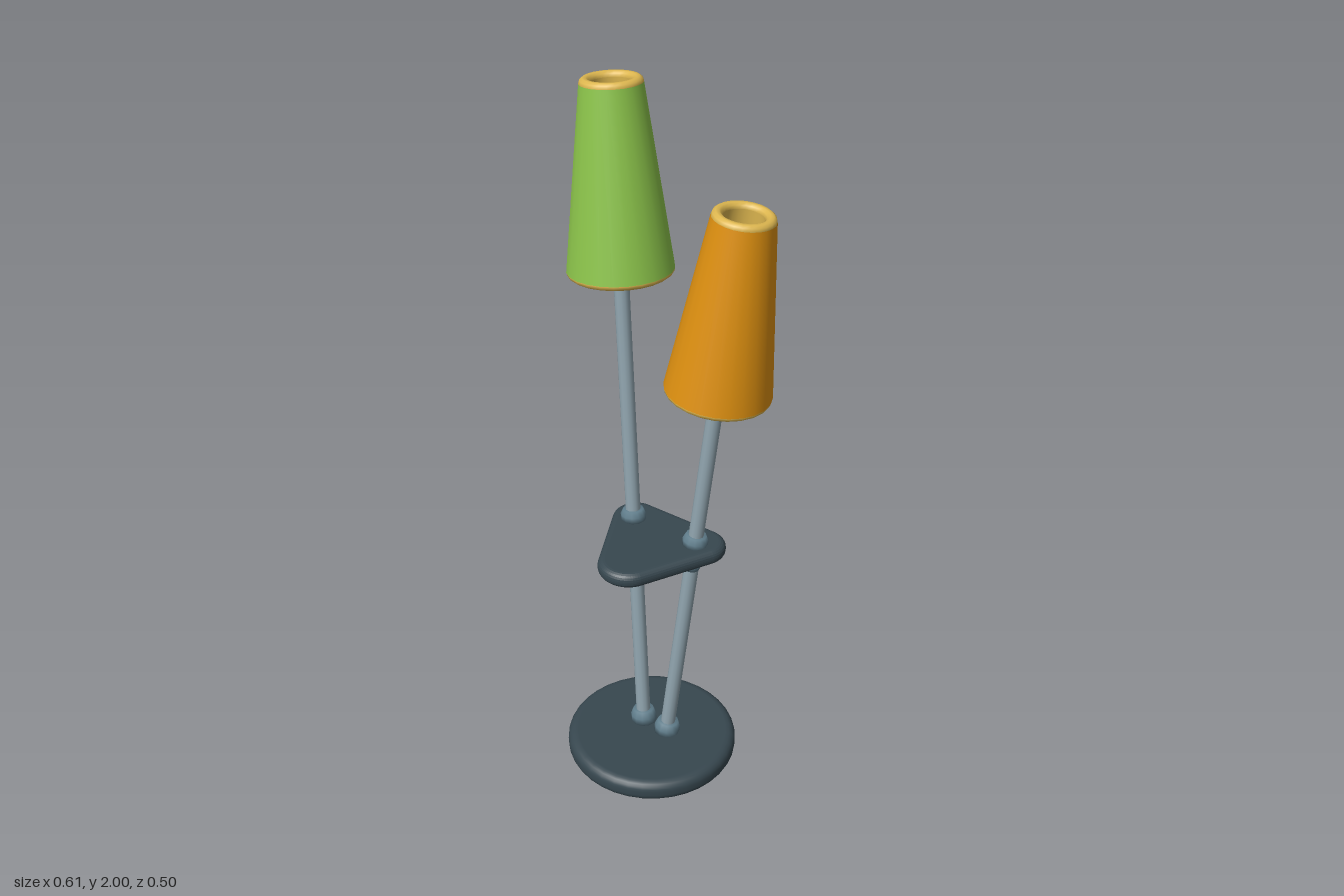
import * as THREE from 'three';

const mat = (name, color, side = THREE.FrontSide) => {
  const m = new THREE.MeshStandardMaterial({ color, side });
  m.name = name;
  return m;
};

export function createModel() {
  const slate = mat('dark slate', 0x37474f);
  const steel = mat('steel', 0x90a4ae);
  const collarGrey = mat('collar grey', 0x607d8b);
  const gold = mat('gold lining', 0xdfb850);
  const green = mat('green shade', 0x8bc34a);
  const orange = mat('orange shade', 0xde9010);

  const lamp = new THREE.Group();
  lamp.name = 'twinFloorLamp';
  const add = (parent, name, geo, material, x = 0, y = 0, z = 0) => {
    const m = new THREE.Mesh(geo, material);
    m.name = name;
    m.position.set(x, y, z);
    parent.add(m);
    return m;
  };
  const lathe = (pts, n) => new THREE.LatheGeometry(pts.map(([r, y]) => new THREE.Vector2(r, y)), n);

  // Round base with softened rims
  const R = 0.25, H = 0.065, b = 0.026;
  const profile = [[0, 0], [R - b - 0.003, 0]];
  for (let i = 0; i <= 5; i++) {
    const a = -Math.PI / 2 + (i / 5) * Math.PI / 2;
    profile.push([R - b + b * Math.cos(a), b + b * Math.sin(a)]);
  }
  for (let i = 0; i <= 5; i++) {
    const a = (i / 5) * Math.PI / 2;
    profile.push([R - b + b * Math.cos(a), H - b + b * Math.sin(a)]);
  }
  profile.push([R - b - 0.003, H], [0, H]);
  add(lamp, 'base', lathe(profile, 36), slate, 0.01);

  // Rounded triangular spacer plate: arcs at three corners, inset by the bevel
  const bevel = 0.02;
  const plate = new THREE.Shape();
  const deg = Math.PI / 180;
  // Shape y becomes +z after the plate is laid flat
  plate.absarc(0, 0.108, 0.085 - bevel, 30 * deg, 150 * deg, false);
  plate.absarc(-0.113, -0.078, 0.067 - bevel, 150 * deg, 270 * deg, false);
  plate.absarc(0.113, -0.078, 0.067 - bevel, 270 * deg, 390 * deg, false);
  const plateGeo = new THREE.ExtrudeGeometry(plate, {
    depth: 0.005, bevelSize: bevel, bevelThickness: bevel, bevelSegments: 5, curveSegments: 12,
  });
  plateGeo.rotateX(Math.PI / 2);
  add(lamp, 'spacerPlate', plateGeo, slate, 0.01, 0.735, 0);

  // One leaning pole with its collars and open conical shade
  const buildArm = (side, x0, shadeY, shadeMat) => {
    const arm = new THREE.Group();
    arm.name = side + 'Arm';
    const dir = new THREE.Vector3(Math.sign(x0) * 0.0914, 1, -0.055);
    const stretch = dir.length();
    arm.position.set(x0, 0.08, -0.02);
    arm.quaternion.setFromUnitVectors(new THREE.Vector3(0, 1, 0), dir.normalize());
    const along = y => (y - 0.08) * stretch; // world height to distance along the pole

    const end = along(1.63), start = along(0.05);
    add(arm, side + 'Pole', new THREE.CylinderGeometry(0.021, 0.021, end - start, 12), steel, 0, (end + start) / 2);

    // Collars on the base and on both faces of the plate
    const collar = (name, y, r, h, flip) => {
      const c = add(arm, name, lathe([[0, 0], [r, 0], [r, h * 0.55], [r * 0.8, h], [0, h]], 12), collarGrey, 0, along(y));
      if (flip) c.rotation.x = Math.PI;
    };
    collar(side + 'BaseCollar', 0.06, 0.038, 0.042);
    collar(side + 'UpperCollar', 0.75, 0.036, 0.034);
    collar(side + 'LowerCollar', 0.715, 0.029, 0.045, true);

    // Shade: coloured outside, gold lining and rounded gold rims
    const shade = new THREE.Group();
    shade.name = side + 'Shade';
    shade.position.y = along(shadeY);
    arm.add(shade);
    const len = 0.485, rb = 0.143, rt = 0.082, tube = 0.0145;
    add(shade, side + 'ShadeOuter', lathe([[rb, 0], [rt, len]], 24), shadeMat);
    add(shade, side + 'ShadeLining', lathe([[rt - 2 * tube, len], [rb - 2 * tube, 0]], 24), gold);
    for (const [name, r, y] of [['BottomRim', rb, 0], ['TopRim', rt, len]]) {
      const rim = new THREE.TorusGeometry(r - tube, tube, 10, 24);
      rim.rotateX(Math.PI / 2);
      add(shade, side + name, rim, gold, 0, y);
    }
    lamp.add(arm);
  };
  buildArm('right', -0.035, 1.495, green);
  buildArm('left', 0.053, 1.245, orange);

  return lamp;
}
